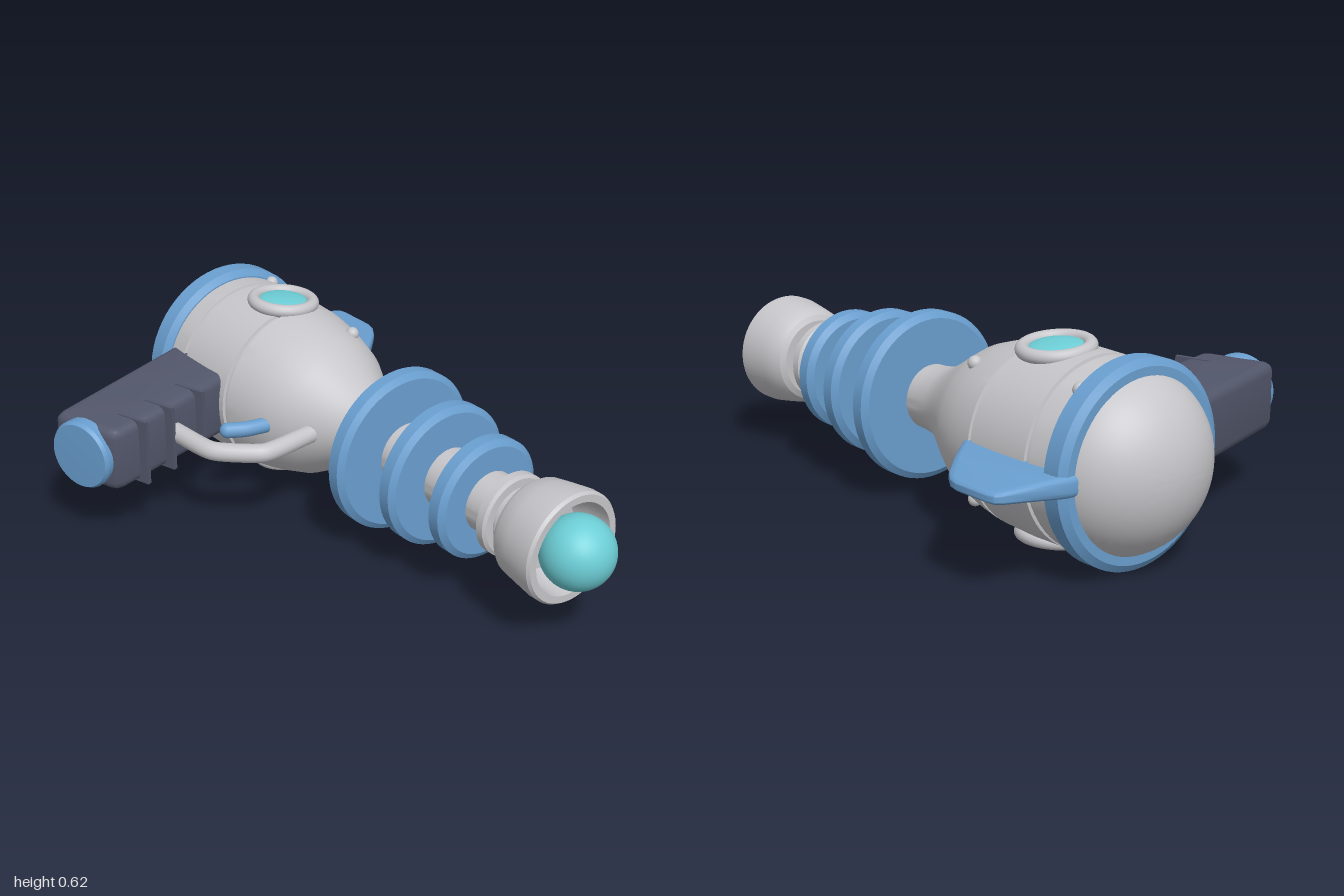
import * as THREE from 'three';
import { toCreasedNormals } from 'three/addons/utils/BufferGeometryUtils.js';

const CY = 0.307, CZ = -0.175; // barrel axis

const mat = (name, color) => {
  const m = new THREE.MeshStandardMaterial({ color });
  m.name = name;
  return m;
};

export function createModel() {
  const grey = mat('light grey metal', 0xc6c6ca);
  const blue = mat('blue enamel', 0x6a9fd0);
  const dark = mat('dark grip', 0x53576b);
  const teal = mat('teal glass', 0x6dced6);

  const model = new THREE.Group();
  model.name = 'rayGun';
  const add = (name, geo, material, parent = model) => {
    const m = new THREE.Mesh(geo, material);
    m.name = name;
    parent.add(m);
    return m;
  };

  // Turned part along the x axis from [x, radius] pairs
  const turned = (name, pts, material, crease = 0.45) => {
    const g = new THREE.LatheGeometry(pts.map(([x, r]) => new THREE.Vector2(r, x)), 64);
    g.rotateZ(-Math.PI / 2);
    return add(name, toCreasedNormals(g, crease), material).position.set(0, CY, CZ);
  };

  // Bevelled disc around the x axis
  const disc = (name, x0, x1, r, b, material) => turned(name, [
    [x0, 0], [x0, r - b], [x0 + b * 0.7, r], [x1 - b * 0.7, r], [x1, r - b], [x1, 0],
  ], material, 0.3);

  // Plate lying flat, outlined by [x, z] pairs, centred on y = 0
  const plate = (pts, thickness, bevel, segments) => {
    const shape = new THREE.Shape(pts.map(([x, z]) => new THREE.Vector2(x, -z)));
    const g = new THREE.ExtrudeGeometry(shape, {
      depth: thickness - 2 * bevel, bevelEnabled: true, bevelThickness: bevel,
      bevelSize: bevel, bevelOffset: -bevel, bevelSegments: segments,
    });
    g.translate(0, 0, bevel - thickness / 2);
    g.rotateX(-Math.PI / 2);
    return g;
  };

  // Rear dome
  const dome = [];
  for (let i = 0; i <= 16; i++) {
    const a = (i / 16) * Math.PI / 2;
    dome.push([-0.76 - 0.24 * Math.cos(a), 0.272 * Math.sin(a)]);
  }
  turned('rearDome', dome, grey);

  // Body with two grooves, flowing into the barrel
  turned('body', [
    [-0.8, 0.272], [-0.69, 0.281], [-0.688, 0.273], [-0.674, 0.273], [-0.672, 0.282],
    [-0.56, 0.284], [-0.45, 0.279], [-0.448, 0.27], [-0.434, 0.27], [-0.432, 0.277],
    [-0.38, 0.268], [-0.32, 0.253], [-0.25, 0.231], [-0.2, 0.203], [-0.15, 0.173],
    [-0.1, 0.144], [-0.06, 0.124], [-0.02, 0.11], [0.04, 0.102], [0.12, 0.099],
    [0.69, 0.095],
  ], grey);
  disc('rearRing', -0.845, -0.76, 0.302, 0.022, blue);

  // Cooling fins and muzzle collars
  [[0.07, 0.264], [0.27, 0.23], [0.452, 0.194]].forEach(([x, r]) =>
    disc('coolingDisc', x, x + 0.067, r, 0.02, blue));
  disc('collar', 0.597, 0.637, 0.132, 0.01, grey);
  disc('smallCollar', 0.65, 0.668, 0.108, 0.006, grey);

  // Muzzle cup and glass ball
  turned('muzzle', [
    [0.68, 0], [0.68, 0.125], [0.69, 0.143], [0.71, 0.157], [0.76, 0.166], [0.83, 0.177],
    [0.86, 0.177], [0.87, 0.17], [0.87, 0.147], [0.8, 0.135], [0.76, 0.11], [0.75, 0],
  ], grey);
  add('muzzleBall', new THREE.SphereGeometry(0.113, 48, 32), teal).position.set(0.887, CY, CZ);

  // Portholes on both sides
  for (const s of [1, -1]) {
    const port = new THREE.Group();
    port.name = 'porthole';
    port.position.set(-0.52, CY + s * 0.277, -0.2);
    port.rotation.x = s > 0 ? -0.1 : Math.PI + 0.1;
    const ring = new THREE.TorusGeometry(0.097, 0.021, 16, 48);
    ring.rotateX(Math.PI / 2);
    add('portholeRing', ring, grey, port);
    const glass = new THREE.SphereGeometry(0.085, 32, 16);
    glass.scale(1, 0.22, 1);
    add('portholeGlass', glass, teal, port);
    model.add(port);
    // Rivets
    [[-0.3, 0.247], [-0.755, 0.272]].forEach(([x, r]) =>
      add('rivet', new THREE.SphereGeometry(0.022, 16, 12), grey)
        .position.set(x, CY + s * r * 0.83, CZ - r * 0.56));
  }

  // Tail fin, thinner toward its tip
  const fin = plate([
    [-0.855, -0.4], [-0.855, -0.45], [-0.835, -0.53], [-0.808, -0.645], [-0.795, -0.664],
    [-0.77, -0.67], [-0.645, -0.67], [-0.61, -0.66], [-0.57, -0.632], [-0.5, -0.56],
    [-0.44, -0.49], [-0.395, -0.435], [-0.42, -0.38], [-0.8, -0.38],
  ], 0.066, 0.02, 4);
  const p = fin.attributes.position;
  for (let i = 0; i < p.count; i++) {
    const t = THREE.MathUtils.clamp((-0.44 - p.getZ(i)) / 0.23, 0, 1);
    p.setY(i, p.getY(i) * (1 - 0.5 * t));
  }
  add('tailFin', toCreasedNormals(fin, 0.6), blue).position.y = CY;

  // Grip with ridges at its front edge
  const grip = plate([
    [-0.8, -0.02], [-0.77, 0.08], [-0.61, 0.605], [-0.595, 0.63], [-0.57, 0.635],
    [-0.39, 0.58], [-0.37, 0.565], [-0.366, 0.54], [-0.475, 0.08], [-0.5, -0.02],
  ], 0.212, 0.03, 4);
  add('grip', toCreasedNormals(grip, 0.6), dark).position.y = CY;
  const tilt = 0.294;
  [0.2, 0.338, 0.455].forEach((z) => {
    const ridge = add('gripRidge', new THREE.BoxGeometry(0.11, 0.218, 0.014), dark);
    ridge.position.set(-0.497 + 0.234 * (z - 0.08), CY, z + 0.015);
    ridge.rotation.y = tilt;
  });

  // Butt cap
  const cap = new THREE.LatheGeometry([[0, -0.06], [0.1, -0.06], [0.112, -0.045],
    [0.112, -0.012], [0.105, 0], [0, 0.003]].map(([r, y]) => new THREE.Vector2(r, y)), 40);
  cap.rotateX(Math.PI / 2);
  const capMesh = add('gripCap', toCreasedNormals(cap, 0.5), blue);
  capMesh.position.set(-0.474, CY, 0.632);
  capMesh.rotation.y = tilt;

  // Bent rods: trigger guard and trigger
  const rod = (name, pts, r, material) => {
    const v = pts.map(([x, z]) => new THREE.Vector3(x, CY, z));
    const path = new THREE.CatmullRomCurve3(v, false, 'centripetal');
    add(name, new THREE.TubeGeometry(path, 64, r, 16), material);
    return v[v.length - 1];
  };
  rod('triggerGuard', [
    [-0.45, 0.308], [-0.4, 0.306], [-0.265, 0.295], [-0.235, 0.283], [-0.147, 0.193],
    [-0.133, 0.165], [-0.143, 0], [-0.152, -0.08],
  ], 0.03, grey);
  const tip = rod('trigger', [[-0.27, 0.0], [-0.285, 0.08], [-0.297, 0.125], [-0.325, 0.175]],
    0.025, blue);
  add('triggerTip', new THREE.SphereGeometry(0.025, 16, 12), blue).position.copy(tip);

  return model;
}
